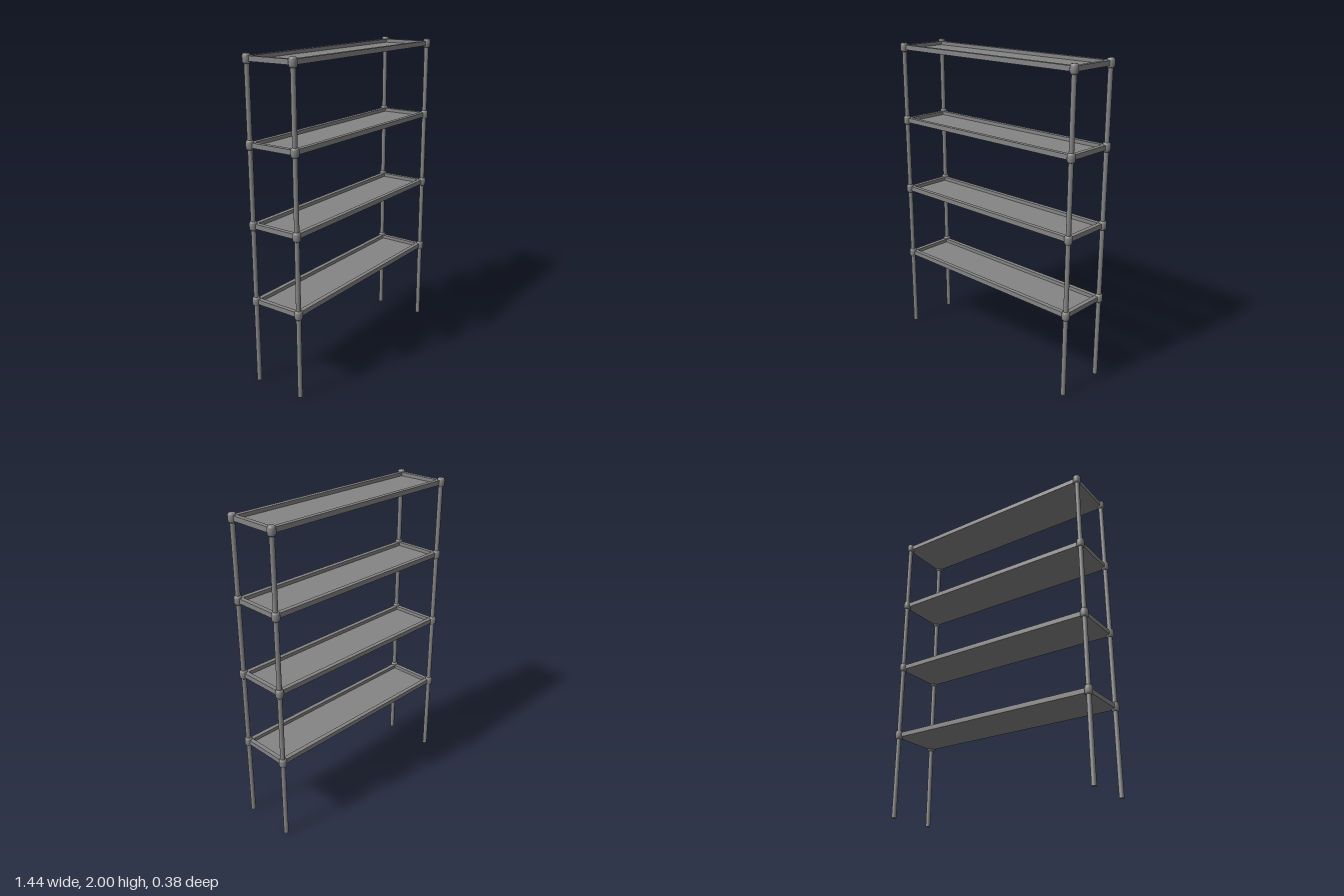
import * as THREE from 'three';

export function createModel() {
  const root = new THREE.Group();
  root.name = 'shelfRack';
  const material = new THREE.MeshStandardMaterial({ color: 0x858585 });

  const add = (parent, name, geometry, x, y, z) => {
    const mesh = new THREE.Mesh(geometry, material);
    mesh.name = name;
    mesh.position.set(x, y, z);
    parent.add(mesh);
    return mesh;
  };

  const postX = 0.694, postZ = 0.163;
  const levels = [0.536, 1.015, 1.494, 1.972];

  // Round posts and the barrel-shaped joint, shared by all corners
  const postHeight = 1.975;
  const postGeo = new THREE.CylinderGeometry(0.0148, 0.0148, postHeight, 20);
  const jointProfile = [
    [0, -0.028], [0.016, -0.028], [0.021, -0.024], [0.0238, -0.016], [0.0245, 0],
    [0.0238, 0.016], [0.021, 0.024], [0.016, 0.028], [0, 0.028],
  ].map(([r, y]) => new THREE.Vector2(r, y));
  const jointGeo = new THREE.LatheGeometry(jointProfile, 20);

  // Shelf tray: a rim with a rectangular opening, closed by a panel at the bottom
  const halfW = 0.702, halfD = 0.168, rim = 0.028, rimHeight = 0.03;
  const rectangle = (path, w, d) => {
    path.moveTo(-w, -d);
    path.lineTo(w, -d);
    path.lineTo(w, d);
    path.lineTo(-w, d);
    path.closePath();
    return path;
  };
  const rimShape = rectangle(new THREE.Shape(), halfW, halfD);
  rimShape.holes.push(rectangle(new THREE.Path(), halfW - rim, halfD - rim));
  const rimGeo = new THREE.ExtrudeGeometry(rimShape, { depth: rimHeight, bevelEnabled: false });
  rimGeo.rotateX(-Math.PI / 2);
  rimGeo.translate(0, -rimHeight / 2, 0);
  const panelGeo = new THREE.BoxGeometry(2 * (halfW - rim), 0.008, 2 * (halfD - rim));

  levels.forEach((y, i) => {
    const shelf = new THREE.Group();
    shelf.name = `shelf${i + 1}`;
    shelf.position.y = y;
    add(shelf, 'shelfRim', rimGeo, 0, 0, 0);
    add(shelf, 'shelfPanel', panelGeo, 0, -rimHeight / 2 + 0.004, 0);
    root.add(shelf);
  });

  // Four corners: post with one joint per shelf
  for (const sx of [-1, 1]) {
    for (const sz of [-1, 1]) {
      const corner = new THREE.Group();
      corner.name = (sz > 0 ? 'front' : 'back') + (sx > 0 ? 'Left' : 'Right') + 'Corner';
      corner.position.set(sx * postX, 0, sz * postZ);
      add(corner, 'post', postGeo, 0, postHeight / 2, 0);
      levels.forEach((y) => add(corner, 'joint', jointGeo, 0, y, 0));
      root.add(corner);
    }
  }
  return root;
}
